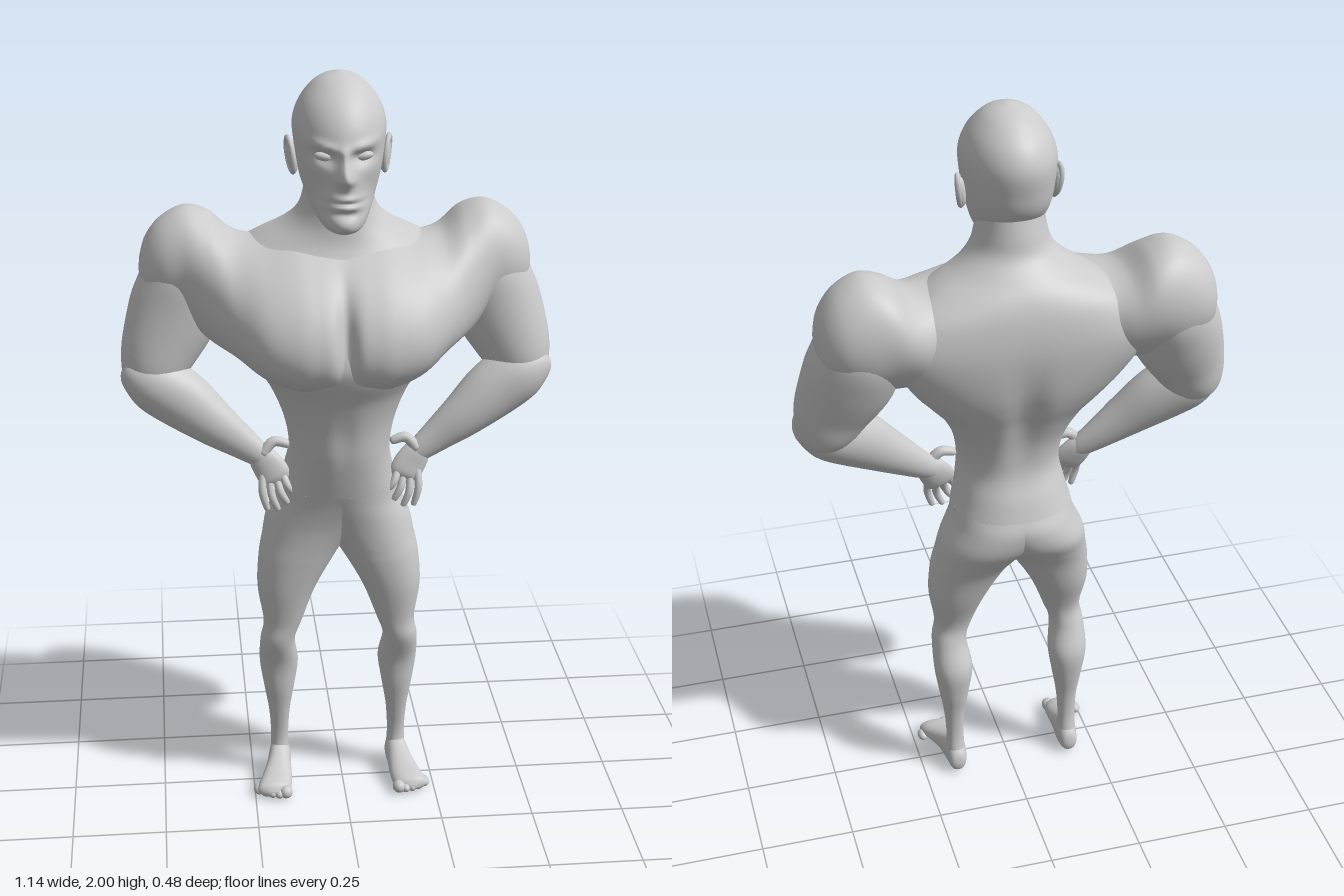
import * as THREE from 'three';

const material = new THREE.MeshStandardMaterial({ color: 0xcccccc });
const bell = (d, s) => Math.exp(-(d * d) / (2 * s * s));
const power = (v, e) => Math.sign(v) * Math.abs(v) ** e;

// Smoothly resample a list of cross-section rows (Catmull-Rom per column)
function resample(rows, steps) {
  const out = [];
  const at = i => rows[Math.min(Math.max(i, 0), rows.length - 1)];
  for (let i = 0; i < rows.length - 1; i++) {
    for (let k = 0; k < steps; k++) {
      const t = k / steps;
      out.push(rows[i].map((b, c) => {
        const a = at(i - 1)[c], d = at(i + 1)[c], e = at(i + 2)[c];
        return b + 0.5 * t * (d - a + t * (2 * a - 5 * b + 4 * d - e + t * (3 * (b - d) + e - a)));
      }));
    }
  }
  return [...out, rows[rows.length - 1]];
}

// Smooth skin over the rows, closed at the end unless open; point(row, angle, i, rows) gives each corner
function loft(name, rows, point, { sides = 40, steps = 5, mirror = 1, open = false } = {}) {
  const fine = resample(rows, steps);
  const pos = [], index = [];
  fine.forEach((row, i) => {
    for (let j = 0; j < sides; j++) {
      const [x, y, z] = point(row, (j / sides) * Math.PI * 2, i, fine);
      pos.push(x * mirror, y, z);
    }
  });
  const id = (i, j) => i * sides + (j % sides);
  for (let i = 0; i < fine.length - 1; i++) {
    for (let j = 0; j < sides; j++) {
      const quad = [id(i, j), id(i + 1, j), id(i + 1, j + 1), id(i, j + 1)];
      // No inner wall where two halves meet on the middle plane
      if (quad.every(q => Math.abs(pos[q * 3]) < 1e-5)) continue;
      index.push(quad[0], quad[1], quad[2], quad[0], quad[2], quad[3]);
    }
  }
  for (const i of open ? [] : [0, fine.length - 1]) {
    const c = [0, 0, 0], n = pos.length / 3;
    for (let j = 0; j < sides; j++) for (let k = 0; k < 3; k++) c[k] += pos[id(i, j) * 3 + k] / sides;
    pos.push(...c);
    for (let j = 0; j < sides; j++) {
      if (i === 0) index.push(n, id(i, j), id(i, j + 1));
      else index.push(n, id(i, j + 1), id(i, j));
    }
  }
  // Turn the faces outward
  const v = i => new THREE.Vector3().fromArray(pos, i * 3).sub(new THREE.Vector3().fromArray(pos, 0));
  let volume = 0;
  for (let i = 0; i < index.length; i += 3) volume += v(index[i]).dot(v(index[i + 1]).cross(v(index[i + 2])));
  if (volume < 0) index.reverse();
  const geometry = new THREE.BufferGeometry();
  geometry.setAttribute('position', new THREE.Float32BufferAttribute(pos, 3));
  geometry.setIndex(index);
  geometry.computeVertexNormals();
  return named(name, geometry);
}

function named(name, geometry) {
  const mesh = new THREE.Mesh(geometry, material);
  mesh.name = name;
  return mesh;
}

function ellipsoid(name, x, y, z, rx, ry, rz) {
  const mesh = named(name, new THREE.SphereGeometry(1, 24, 16));
  mesh.position.set(x, y, z);
  mesh.scale.set(rx, ry, rz);
  return mesh;
}

// Level ring: [y, centre x, half width, front z, back z, widest z, squareness]
function levelRing([y, cx, w, front, back, mid, e], a) {
  const s = power(Math.sin(a), e);
  return [cx + w * power(Math.cos(a), e), y, mid + s * (s > 0 ? front - mid : mid - back)];
}

// Ring square to its path: [x, y, z, radius across, radius in depth]
function limbRing([x, y, z, ru, rv], a, i, rows) {
  const p = rows[Math.max(i - 1, 0)], n = rows[Math.min(i + 1, rows.length - 1)];
  const t = new THREE.Vector3(n[0] - p[0], n[1] - p[1], n[2] - p[2]).normalize();
  const u = new THREE.Vector3(0, 0, 1).cross(t).normalize();
  const v = t.clone().cross(u);
  return new THREE.Vector3(x, y, z).addScaledVector(u, ru * Math.cos(a)).addScaledVector(v, rv * Math.sin(a)).toArray();
}

const hipRow = [0.90, 0, 0.158, 0.108, -0.18, -0.04, 0.9];

function torso() {
  const rows = [
    hipRow, [0.95, 0, 0.144, 0.122, -0.165, -0.03, 0.9], [1.02, 0, 0.133, 0.14, -0.142, -0.01, 0.9],
    [1.10, 0, 0.147, 0.153, -0.15, -0.02, 0.9], [1.18, 0, 0.182, 0.175, -0.177, -0.05, 0.88],
    [1.24, 0, 0.225, 0.205, -0.203, -0.08, 0.86], [1.30, 0, 0.272, 0.218, -0.222, -0.1, 0.84],
    [1.38, 0, 0.315, 0.19, -0.235, -0.13, 0.8], [1.45, 0, 0.325, 0.13, -0.239, -0.14, 0.8],
    [1.52, 0, 0.29, 0.10, -0.232, -0.12, 0.84], [1.57, 0, 0.215, 0.076, -0.215, -0.1, 0.92],
    [1.61, 0, 0.145, 0.068, -0.186, -0.07, 1], [1.65, 0, 0.104, 0.066, -0.148, -0.05, 1],
    [1.70, 0, 0.088, 0.063, -0.135, -0.04, 1], [1.76, 0, 0.08, 0.05, -0.12, -0.04, 1]];
  return loft('torso and neck', rows, (row, a) => {
    const [x, y, z] = levelRing(row, a);
    // Navel line and spine furrow
    const line = 0.005 * bell(x, 0.02) * bell(y - 1.08, 0.055);
    const spine = 0.02 * bell(x, 0.03) * bell(y - 1.22, 0.1);
    return [x, y, Math.sin(a) > 0 ? z - line : z + spine];
  }, { sides: 96, open: true });
}

// Chest and shoulders in one span: [x, centre y, half height, centre z, half depth, lean]
function chest() {
  const half = [
    [0, 1.40, 0.185, 0.012, 0.21, -0.42], [0.06, 1.40, 0.187, 0.012, 0.215, -0.42],
    [0.12, 1.40, 0.185, 0.012, 0.215, -0.42], [0.2, 1.405, 0.163, 0, 0.203, -0.42],
    [0.27, 1.43, 0.146, -0.04, 0.182, -0.4], [0.33, 1.465, 0.158, -0.078, 0.156, -0.25],
    [0.39, 1.49, 0.15, -0.104, 0.131, -0.05], [0.45, 1.49, 0.122, -0.11, 0.11, 0],
    [0.49, 1.48, 0.085, -0.11, 0.078, 0], [0.507, 1.475, 0.04, -0.11, 0.038, 0], [0.511, 1.475, 0.004, -0.11, 0.004, 0]];
  const rows = [...half.slice(1).reverse().map(([x, ...r]) => [-x, ...r]), ...half];
  return loft('chest and shoulders', rows, ([x, yc, h, zc, d, lean], a) => {
    const y = yc + h * Math.sin(a), front = Math.cos(a);
    // Cleft between the chest muscles; the back stays under the torso skin
    const cleft = front > 0 ? 0.03 * front * bell(x, 0.016) * bell(y - 1.36, 0.08) : 0;
    const depth = front > 0 ? d : d * (1 - 0.16 * bell(x, 0.14));
    return [x, y, zc + depth * power(front, 0.9) + lean * h * Math.sin(a) - cleft];
  }, { sides: 64, steps: 9 });
}

function head() {
  const group = new THREE.Group();
  group.name = 'head';
  const rows = [
    [1.625, 0, 0.02, 0.15, 0.10, 0.12, 1], [1.637, 0, 0.047, 0.17, 0.05, 0.1, 0.95],
    [1.67, 0, 0.072, 0.172, -0.03, 0.05, 0.95], [1.71, 0, 0.09, 0.168, -0.09, 0.0, 0.95],
    [1.76, 0, 0.104, 0.162, -0.138, -0.01, 0.95], [1.82, 0, 0.113, 0.158, -0.157, -0.01, 0.95],
    [1.88, 0, 0.117, 0.145, -0.165, -0.01, 1], [1.93, 0, 0.1, 0.115, -0.145, -0.01, 1],
    [1.97, 0, 0.069, 0.07, -0.10, -0.01, 1], [1.99, 0, 0.04, 0.035, -0.06, -0.01, 1],
    [2.0, 0, 0.006, 0, -0.016, -0.01, 1]];
  group.add(loft('skull and face', rows, (row, a) => {
    const [x, y, z] = levelRing(row, a);
    if (Math.sin(a) < 0) return [x, y, z];
    const ax = Math.abs(x), brow = y - 1.83 - 0.25 * ax;
    const face = 0.036 * bell(x, 0.013) * bell(y - 1.772, 0.02) + 0.014 * bell(x, 0.01) * bell(y - 1.81, 0.02)
      + 0.008 * bell(ax - 0.016, 0.009) * bell(y - 1.764, 0.008)
      - 0.022 * bell(ax - 0.046, 0.025) * bell(y - 1.815, 0.014)
      + 0.011 * bell(ax - 0.045, 0.03) * bell(brow, 0.009)
      - 0.013 * bell(ax - 0.065, 0.018) * bell(y - 1.73, 0.03)
      + 0.01 * bell(x, 0.024) * (bell(y - 1.717, 0.007) + bell(y - 1.697, 0.007))
      - 0.008 * bell(x, 0.03) * (bell(y - 1.707, 0.004) + bell(y - 1.68, 0.008))
      + 0.006 * bell(x, 0.025) * bell(y - 1.652, 0.012);
    return [x, y, z + face];
  }, { sides: 120, steps: 9 }));
  for (const s of [-1, 1]) {
    const eye = ellipsoid('eye', s * 0.046, 1.816, 0.122, 0.027, 0.012, 0.014);
    eye.rotation.z = s * 0.15;
    // Ear: flat shell with a raised rim
    const ear = new THREE.Group();
    ear.name = 'ear';
    const rim = named('ear rim', new THREE.TorusGeometry(0.027, 0.007, 10, 28));
    rim.rotation.y = Math.PI / 2;
    rim.scale.set(0.75, 1.5, 1);
    ear.add(ellipsoid('ear shell', -s * 0.004, -0.004, 0, 0.013, 0.043, 0.022), rim);
    ear.position.set(s * 0.122, 1.79, -0.016);
    ear.rotation.set(-0.25, -s * 0.3, -s * 0.15);
    group.add(eye, ear);
  }
  return group;
}

function arm(s) {
  const group = new THREE.Group();
  group.name = s > 0 ? 'left arm' : 'right arm';
  const add = (name, rows, sides) => group.add(loft(name, rows, limbRing, { mirror: s, sides }));
  add('upper arm', [
    [0.375, 1.58, -0.115, 0.06, 0.06], [0.383, 1.53, -0.113, 0.105, 0.10], [0.397, 1.45, -0.106, 0.113, 0.12],
    [0.425, 1.365, -0.092, 0.119, 0.11], [0.464, 1.275, -0.072, 0.102, 0.092], [0.487, 1.21, -0.062, 0.081, 0.08],
    [0.493, 1.175, -0.055, 0.055, 0.06], [0.495, 1.16, -0.05, 0.01, 0.01]]);
  add('forearm', [
    [0.556, 1.23, -0.065, 0.01, 0.01], [0.54, 1.22, -0.06, 0.045, 0.055], [0.485, 1.19, -0.045, 0.077, 0.075],
    [0.41, 1.142, -0.028, 0.079, 0.067], [0.33, 1.08, -0.01, 0.062, 0.052], [0.26, 1.028, 0, 0.045, 0.036],
    [0.215, 0.995, 0.008, 0.034, 0.026], [0.195, 0.98, 0.012, 0.025, 0.02]]);
  // Hand resting on the hip
  add('palm', [
    [0.235, 1.01, 0.006, 0.02, 0.015], [0.21, 0.99, 0.01, 0.036, 0.022], [0.187, 0.96, 0.018, 0.043, 0.02],
    [0.172, 0.935, 0.026, 0.042, 0.016], [0.166, 0.922, 0.03, 0.03, 0.008]]);
  const fingers = [
    [[0.204, 0.955], [0.207, 0.90], [0.195, 0.852]], [[0.186, 0.94], [0.183, 0.89], [0.167, 0.85]],
    [[0.17, 0.94], [0.16, 0.90], [0.142, 0.868]], [[0.155, 0.95], [0.143, 0.92], [0.126, 0.897]],
    [[0.205, 1.0], [0.175, 1.032], [0.138, 1.024]]];
  fingers.forEach(([a, b, c], i) => {
    const thumb = i === 4, r = thumb ? 0.014 : 0.0105, z = thumb ? 0.015 : 0.042;
    add(thumb ? 'thumb' : 'finger', [
      [...a, 0.02, r, r], [...b, z, r, r], [c[0], c[1], z + 0.002, r * 0.75, r * 0.75],
      [c[0] * 1.03 - b[0] * 0.03, c[1] * 1.03 - b[1] * 0.03, z + 0.002, 0.002, 0.002]], 14);
  });
  return group;
}

function leg(s) {
  const group = new THREE.Group();
  group.name = s > 0 ? 'left leg' : 'right leg';
  const sides = 64;
  const rows = [
    [0.86, 0.025, 0.142, 0.095, -0.191], [0.80, 0.06, 0.134, 0.08, -0.182], [0.745, 0.09, 0.116, 0.073, -0.15],
    [0.69, 0.115, 0.102, 0.069, -0.122], [0.60, 0.143, 0.079, 0.06, -0.095], [0.50, 0.155, 0.052, 0.043, -0.06],
    [0.44, 0.169, 0.047, 0.038, -0.068], [0.36, 0.165, 0.053, 0.01, -0.096], [0.28, 0.165, 0.042, 0, -0.09],
    [0.20, 0.165, 0.029, -0.015, -0.077], [0.12, 0.165, 0.024, -0.026, -0.075], [0.06, 0.165, 0.026, -0.02, -0.085],
    [0.02, 0.165, 0.022, -0.02, -0.085]].map(r => [...r, (r[3] + r[4]) / 2, 0.92]);
  // The ring stops at the middle plane, so both hips join into the torso
  group.add(loft('hip, thigh and calf', [hipRow, ...rows], (row, a) => {
    const [, cx, w, , , , e] = row;
    const widest = Math.PI * (1 - 1 / sides);
    const limit = cx < w ? Math.min(Math.acos(-((Math.max(cx, 0) / w) ** (1 / e))), widest) : widest;
    const p = levelRing(row, ((a / Math.PI) * sides / (sides - 1) - 1) * limit);
    return [limit < widest && Math.abs(p[0]) < 1e-4 ? 0 : p[0], p[1], p[2]];
  }, { mirror: s, sides, open: true }));
  // Foot rows: [z, centre x, half width, sole y, top y]
  group.add(loft('foot', [
    [-0.097, 0.165, 0.006, 0.03, 0.042], [-0.088, 0.165, 0.022, 0.01, 0.07], [-0.05, 0.165, 0.03, 0.002, 0.1],
    [0, 0.171, 0.034, 0.01, 0.08], [0.05, 0.18, 0.042, 0.008, 0.06], [0.085, 0.188, 0.046, 0.002, 0.051],
    [0.105, 0.192, 0.04, 0.006, 0.043], [0.117, 0.193, 0.01, 0.014, 0.026]],
  ([z, cx, w, low, top], a) => [cx + w * power(Math.cos(a), 0.85), (low + top) / 2 + (top - low) / 2 * Math.sin(a), z],
  { mirror: s }));
  for (let i = 0; i < 5; i++) {
    const r = i === 0 ? 0.018 : 0.014;
    group.add(ellipsoid('toe', s * (0.158 + i * 0.0185), r + 0.003, 0.107 - i * i * 0.0018, r, r, 0.02));
  }
  return group;
}

export function createModel() {
  const model = new THREE.Group();
  model.name = 'muscular figure';
  model.add(torso(), chest(), head());
  for (const s of [1, -1]) model.add(arm(s), leg(s));
  model.children.forEach(part => { part.position.x = -0.008; });
  return model;
}
